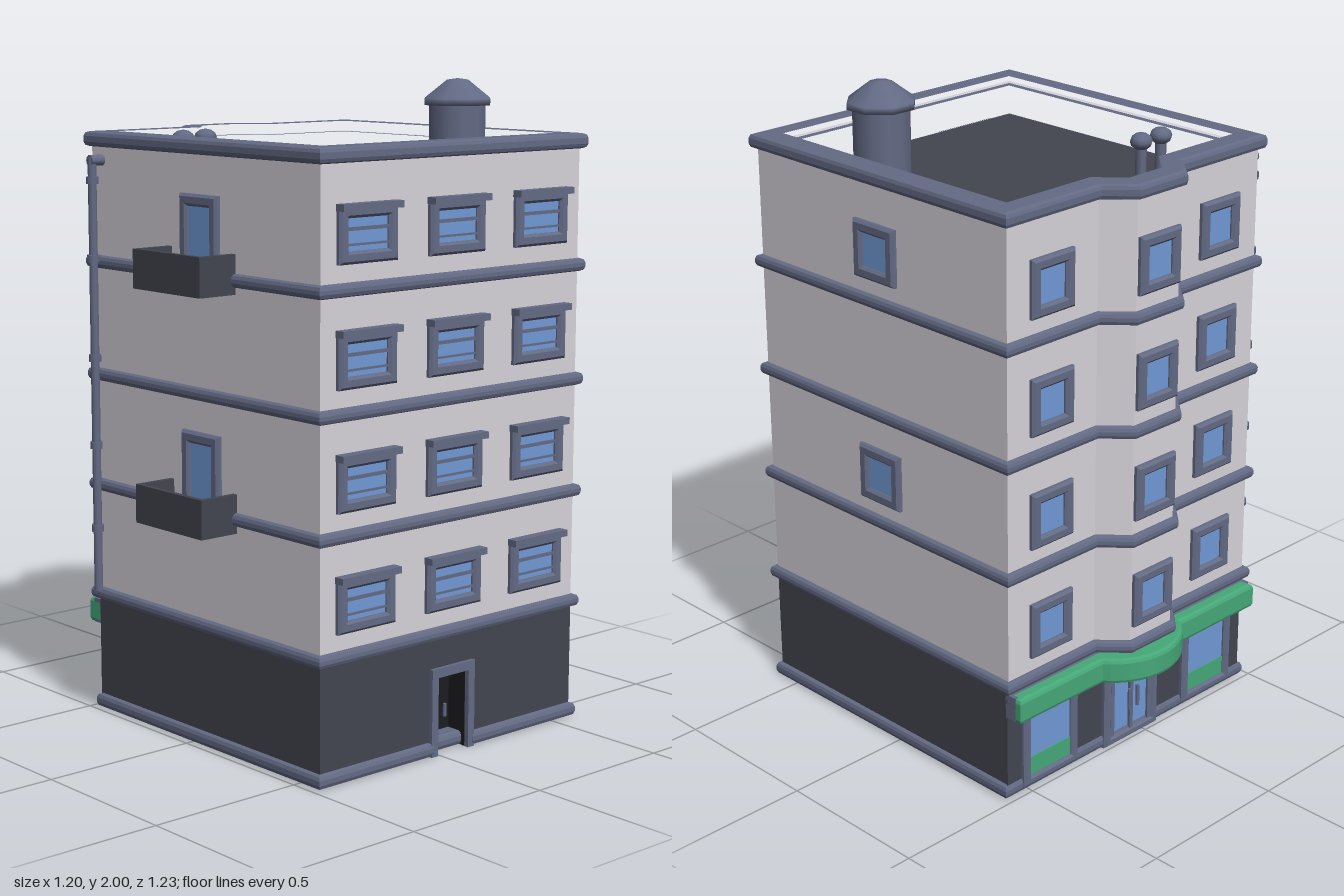
import * as THREE from 'three';

const mat = (name, color) => new THREE.MeshStandardMaterial({ name, color });

export function createModel() {
  const wall = mat('plaster', 0xd6d3da);
  const trim = mat('slate trim', 0x636a84);
  const dark = mat('dark render', 0x42464f);
  const glass = mat('window glass', 0x7099d6);
  const green = mat('awning green', 0x46a878);
  const black = mat('doorway black', 0x1c1d22);
  const model = new THREE.Group();

  const add = (parent, name, geo, material, x = 0, y = 0, z = 0) => {
    const m = new THREE.Mesh(geo, material);
    m.name = name;
    m.position.set(x, y, z);
    parent.add(m);
    return m;
  };
  const box = (parent, name, material, w, h, d, x, y, z) =>
    add(parent, name, new THREE.BoxGeometry(w, h, d), material, x, y, z);
  const cyl = (parent, name, material, r1, r2, h, n, x, y, z) =>
    add(parent, name, new THREE.CylinderGeometry(r1, r2, h, n), material, x, y, z);

  // Extrudes a plan outline of [x, z] points from y0 to y1
  const slab = (name, material, pts, y0, y1, bevel = 0, hole = null) => {
    const flat = (p) => p.map(([x, z]) => new THREE.Vector2(x, -z));
    const shape = new THREE.Shape(flat(pts));
    if (hole) shape.holes.push(new THREE.Path(flat(hole)));
    const geo = new THREE.ExtrudeGeometry(shape, {
      depth: y1 - y0 - 2 * bevel, bevelEnabled: bevel > 0,
      bevelSize: bevel, bevelThickness: bevel, bevelSegments: 2,
    });
    geo.rotateX(-Math.PI / 2);
    return add(model, name, geo, material, 0, y0 + bevel, 0);
  };

  // Upper plan with a bay at the back; inset i moves every side inwards
  const plan = (i) => [
    [-0.47 + i, -0.48 + i], [-0.11 + i * 0.4, -0.48 + i], [-0.035 + i * 0.4, -0.56 + i],
    [0.145 - i * 0.4, -0.56 + i], [0.22 - i * 0.4, -0.48 + i], [0.58 - i, -0.48 + i],
    [0.58 - i, 0.58 - i], [-0.47 + i, 0.58 - i],
  ];
  // Ground plan with a notch for the front door
  const ground = (half, depth, back) => [
    [-0.47, back], [0.58, back], [0.58, 0.58], [0.055 + half, 0.58],
    [0.055 + half, 0.58 - depth], [0.055 - half, 0.58 - depth], [0.055 - half, 0.58], [-0.47, 0.58],
  ];

  // Ground floor
  slab('groundFloor', dark, ground(0.065, 0.08, -0.475), 0.005, 0.245);
  slab('groundFloorTop', dark, [[-0.47, -0.475], [0.58, -0.475], [0.58, 0.58], [-0.47, 0.58]], 0.245, 0.37);
  slab('basePlinth', trim, ground(0.095, 0.03, -0.468), 0, 0.045, 0.015);

  // Upper storeys, roof and parapet
  slab('upperWalls', wall, plan(0), 0.375, 1.69);
  slab('parapetWall', wall, plan(0), 1.69, 1.8, 0, plan(0.02));
  slab('parapetLining', trim, plan(0.02), 1.69, 1.8, 0, plan(0.043));
  slab('roof', dark, plan(0.02), 1.69, 1.697);
  [0.358, 0.711, 1.063, 1.416].forEach((y) => slab('floorBand', trim, plan(-0.004), y, y + 0.04, 0.014));
  slab('parapetCap', trim, plan(-0.005), 1.79, 1.836, 0.014, plan(0.055));

  // Bevelled rectangular frame with a thin pane, facing +z
  const frame = (name, w, h, border, x, y, z, turn = 0, pane = glass) => {
    const g = new THREE.Group();
    g.name = name;
    const rect = (C, a, b) => new C([[-a, -b], [a, -b], [a, b], [-a, b]].map((p) => new THREE.Vector2(...p)));
    const bev = 0.008;
    const s = rect(THREE.Shape, w / 2 - bev, h / 2 - bev);
    s.holes.push(rect(THREE.Path, w / 2 - border + bev, h / 2 - border + bev));
    const geo = new THREE.ExtrudeGeometry(s, {
      depth: 0.012, bevelSize: bev, bevelThickness: bev, bevelSegments: 1,
    });
    add(g, 'frame', geo, trim, 0, 0, -0.002);
    box(g, 'pane', pane, w - border * 2 + 0.01, h - border * 2 + 0.01, 0.008, 0, 0, 0.001);
    g.position.set(x, y, z);
    g.rotation.y = turn;
    model.add(g);
    return g;
  };

  const columns = [-0.298, 0.055, 0.408];
  for (let floor = 0; floor < 4; floor++) {
    const y = 0.53 + floor * 0.3533;
    for (const x of columns) {
      // Wide front windows with a hood and sash bars
      const f = frame('frontWindow', 0.225, 0.165, 0.036, x, y, 0.58);
      box(f, 'hood', trim, 0.23, 0.02, 0.034, 0, 0.078, 0.017);
      box(f, 'sashBar', trim, 0.155, 0.01, 0.008, 0, 0.016, 0.007);
      box(f, 'lowerBar', trim, 0.155, 0.006, 0.008, 0, -0.028, 0.007);
      // Square back windows, the middle one on the bay
      frame('backWindow', 0.17, 0.175, 0.036, x, y, x === 0.055 ? -0.56 : -0.48, Math.PI);
    }
    if (floor % 2) {
      frame('sideWindow', 0.175, 0.175, 0.036, 0.58, y, 0.055, Math.PI / 2);
      // Balcony door and open balcony
      frame('balconyDoor', 0.175, 0.26, 0.036, -0.47, y - 0.045, 0.055, -Math.PI / 2);
      const b = new THREE.Group();
      b.name = 'balcony';
      b.position.set(-0.47, y - 0.195, 0.055);
      model.add(b);
      box(b, 'floor', dark, 0.125, 0.02, 0.3, -0.0625, 0.01, 0);
      box(b, 'frontRail', dark, 0.016, 0.118, 0.314, -0.125, 0.059, 0);
      for (const s of [-1, 1]) box(b, 'sideRail', dark, 0.13, 0.118, 0.016, -0.065, 0.059, s * 0.149);
    }
  }

  // Front doorway
  box(model, 'frontDoor', black, 0.13, 0.24, 0.008, 0.055, 0.122, 0.505);
  for (const s of [-1, 1]) {
    box(model, 'doorJamb', trim, 0.026, 0.27, 0.03, 0.055 + s * 0.076, 0.135, 0.578);
    box(model, 'doorReveal', black, 0.004, 0.24, 0.075, 0.055 + s * 0.064, 0.122, 0.54);
  }
  box(model, 'doorLintel', trim, 0.178, 0.028, 0.032, 0.055, 0.257, 0.578);
  cyl(model, 'doorHandle', trim, 0.006, 0.006, 0.04, 8, 0.095, 0.105, 0.515);

  // Shopfront at the back
  for (const x of [columns[0], columns[2]]) {
    const w = frame('shopWindow', 0.23, 0.26, 0.03, x, 0.145, -0.475, Math.PI);
    box(w, 'greenPanel', green, 0.17, 0.06, 0.004, 0, -0.07, 0.006);
  }
  const shopDoor = frame('shopDoor', 0.24, 0.28, 0.03, 0.055, 0.14, -0.475, Math.PI);
  box(shopDoor, 'mullion', trim, 0.014, 0.23, 0.012, 0, 0, 0.008);
  for (const s of [-1, 1]) {
    box(shopDoor, 'stile', trim, 0.016, 0.23, 0.012, s * 0.083, 0, 0.006);
    cyl(shopDoor, 'handle', trim, 0.006, 0.006, 0.07, 8, s * 0.018, 0, 0.022);
  }

  // Awning with a curved middle, and its backing board
  const curve = [];
  for (let i = 0; i <= 14; i++) {
    const a = -0.95 + (i / 14) * 1.9;
    curve.push([0.055 + 0.211 * Math.sin(a), -0.396 - 0.211 * Math.cos(a)]);
  }
  slab('awning', green, [[-0.457, -0.49], [-0.457, -0.517], ...curve, [0.567, -0.517], [0.567, -0.49]], 0.27, 0.352, 0.013);
  box(model, 'awningBoard', trim, 1.05, 0.078, 0.04, 0.055, 0.313, -0.488);

  // Drainpipe with collars and a top elbow
  cyl(model, 'drainpipe', trim, 0.014, 0.014, 1.36, 10, -0.508, 1.08, -0.43);
  for (const y of [0.6, 0.865, 1.14, 1.45, 1.69]) cyl(model, 'pipeCollar', trim, 0.02, 0.02, 0.022, 10, -0.508, y, -0.43);
  cyl(model, 'pipeElbow', trim, 0.017, 0.017, 0.055, 10, -0.49, 1.75, -0.43).rotation.z = Math.PI / 2;

  // Rooftop tank with a conical cap
  const cap = [[0, 1.915], [0.107, 1.92], [0.107, 1.94], [0.035, 1.995], [0, 2]].map((p) => new THREE.Vector2(...p));
  cyl(model, 'roofTank', trim, 0.088, 0.088, 0.23, 12, 0.32, 1.81, 0.315);
  add(model, 'tankCap', new THREE.LatheGeometry(cap, 8, Math.PI / 8), trim, 0.32, 0, 0.315);

  // Mushroom vents
  for (const x of [-0.3, -0.213]) {
    cyl(model, 'ventStem', trim, 0.017, 0.017, 0.12, 8, x, 1.755, -0.243);
    const v = add(model, 'ventCap', new THREE.SphereGeometry(0.035, 10, 6), trim, x, 1.818, -0.243);
    v.scale.y = 0.75;
  }
  return model;
}
